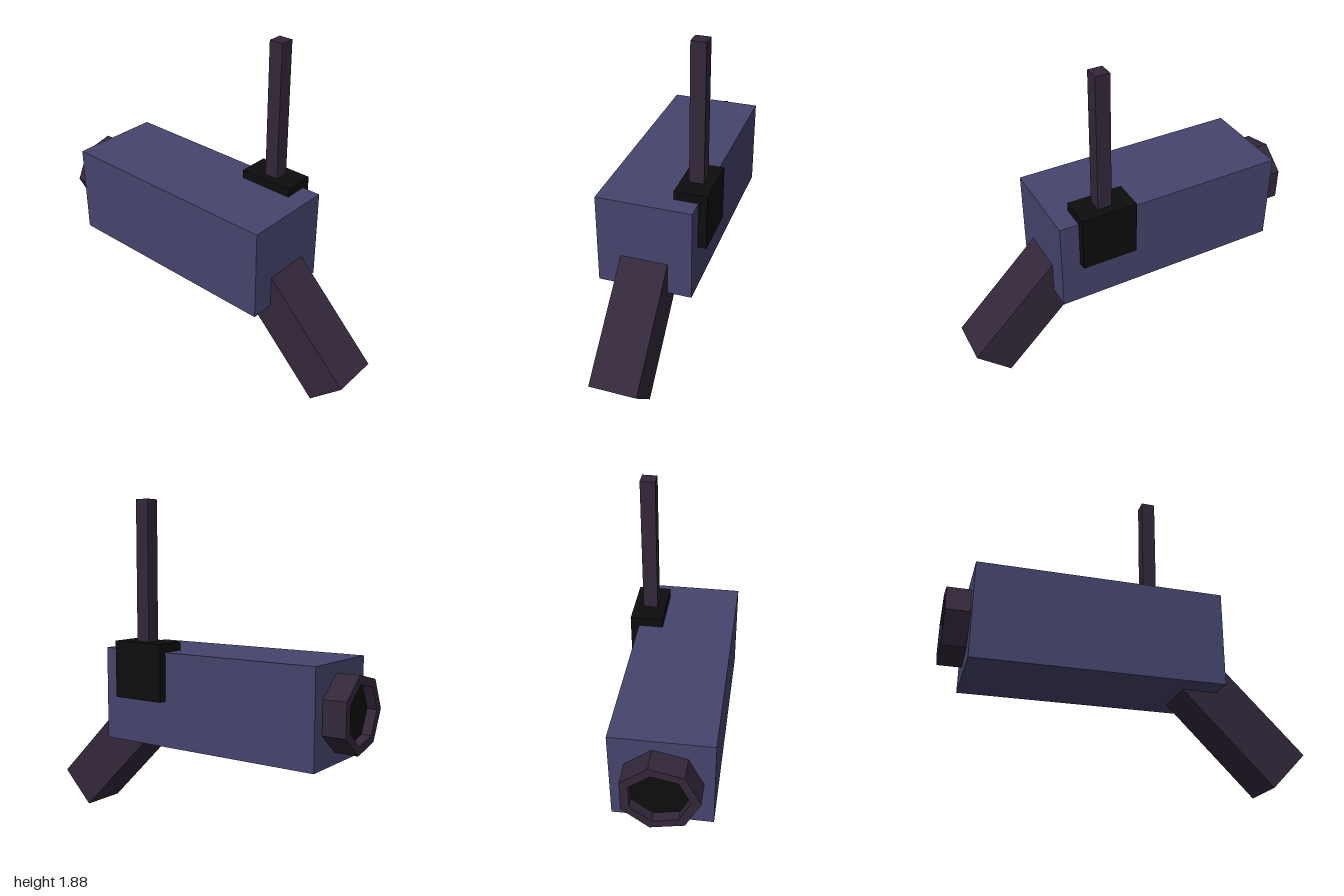
import * as THREE from 'three';

const material = (name, color) => {
  const m = new THREE.MeshStandardMaterial({ color });
  m.name = name;
  return m;
};

export function createModel() {
  const group = new THREE.Group();
  const blue = material('slate blue', 0x45446d);
  const plum = material('dark plum', 0x33273a);
  const black = material('black', 0x0d0d0d);

  const add = (name, geometry, mat) => {
    const mesh = new THREE.Mesh(geometry, mat);
    mesh.name = name;
    group.add(mesh);
    return mesh;
  };

  // Box given by its lower and upper limits on each axis
  const addBox = (name, mat, [x0, x1], [y0, y1], [z0, z1]) =>
    add(name, new THREE.BoxGeometry(x1 - x0, y1 - y0, z1 - z0), mat)
      .position.set((x0 + x1) / 2, (y0 + y1) / 2, (z0 + z1) / 2);

  addBox('body', blue, [-0.295, 0.245], [0.505, 1.04], [-0.87, 0.5]);
  addBox('sideBox', black, [0.108, 0.292], [0.765, 1.09], [0.065, 0.39]);
  addBox('antenna', plum, [0.155, 0.238], [1.0, 1.88], [0.19, 0.272]);

  // Handle slanting down and forward at 45 degrees, its upper end inside the body
  const length = 0.85, thick = 0.272, s = Math.SQRT1_2;
  const handle = add('handle', new THREE.BoxGeometry(0.27, thick, length), plum);
  handle.rotation.x = Math.PI / 4;
  handle.position.set(-0.025, 0.0975 + (length / 2) * s, 0.904 - (length / 2) * s);

  // Seven-sided nozzle ring at the back with a sunken black floor
  const heptagon = (r) => Array.from({ length: 7 }, (_, i) => {
    const a = Math.PI + (i * 2 * Math.PI) / 7;
    return new THREE.Vector2(r * Math.cos(a), r * Math.sin(a));
  });
  const extrude = (shape, depth) =>
    new THREE.ExtrudeGeometry(shape, { depth, bevelEnabled: false });

  const outer = new THREE.Shape(heptagon(0.213));
  outer.holes.push(new THREE.Path(heptagon(0.163).reverse()));
  add('nozzleRing', extrude(outer, 0.14), plum).position.set(-0.027, 0.775, -1);
  add('nozzleFloor', extrude(new THREE.Shape(heptagon(0.163)), 0.08), black)
    .position.set(-0.027, 0.775, -0.945);

  return group;
}
